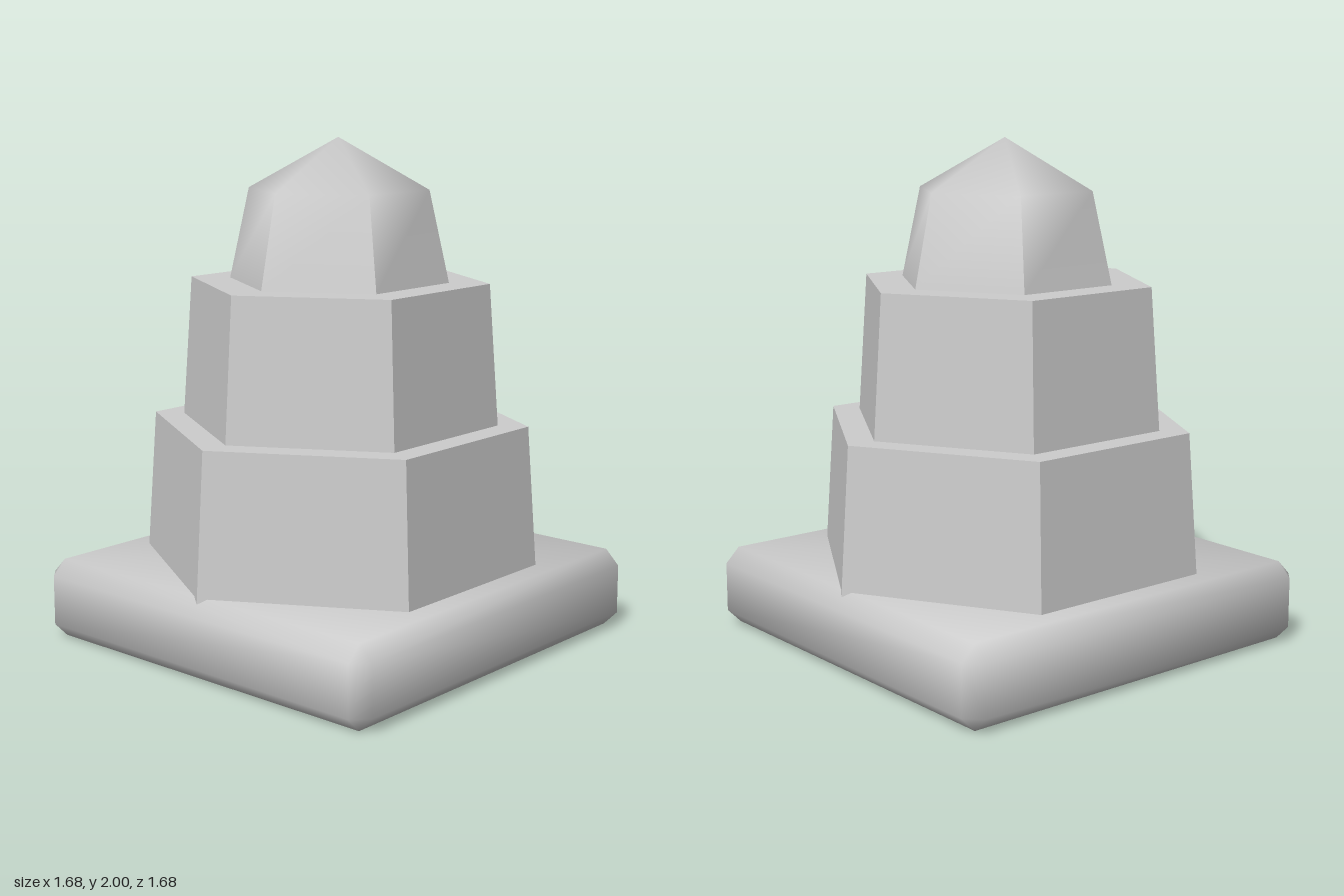
import * as THREE from 'three';
import { ConvexGeometry } from 'three/addons/geometries/ConvexGeometry.js';

const stone = new THREE.MeshStandardMaterial({ color: 0xcccccc });
stone.name = 'grey stone';

// Replaces each vertex normal with rule(position, old normal)
function setNormals(geometry, rule) {
  const pos = geometry.attributes.position, nor = geometry.attributes.normal;
  const p = new THREE.Vector3(), n = new THREE.Vector3();
  for (let i = 0; i < pos.count; i++) {
    p.fromBufferAttribute(pos, i);
    n.fromBufferAttribute(nor, i);
    rule(p, n);
    n.normalize();
    nor.setXYZ(i, n.x, n.y, n.z);
  }
  return geometry;
}

// Box with one-step bevels on every edge, shaded smooth
function bevelledBox(hx, hy, hz, bevel) {
  const half = [hx, hy, hz], points = [];
  for (let axis = 0; axis < 3; axis++) {
    for (const sx of [-1, 1]) for (const sy of [-1, 1]) for (const sz of [-1, 1]) {
      const c = [sx, sy, sz].map((s, k) => s * (half[k] - (k === axis ? 0 : bevel)));
      points.push(new THREE.Vector3(...c));
    }
  }
  return setNormals(new ConvexGeometry(points), (p, n) => {
    const w = p.toArray().map((v, k) =>
      Math.sign(v) * (Math.abs(v) > half[k] - bevel / 2 ? 2.8 : 1.09));
    n.set(...w);
  });
}

// Six-sided tapered block with corners on the x axis and flat faces
function hexBlock(rBottom, rTop, y0, y1, open = false) {
  const g = new THREE.CylinderGeometry(rTop, rBottom, y1 - y0, 6, 1, open, Math.PI / 2);
  g.translate(0, (y0 + y1) / 2, 0);
  const flat = g.toNonIndexed();
  flat.computeVertexNormals();
  return flat;
}

export function createModel() {
  const model = new THREE.Group();
  model.name = 'steppedTower';
  const add = (name, geometry, parent = model) => {
    const mesh = new THREE.Mesh(geometry, stone);
    mesh.name = name;
    parent.add(mesh);
    return mesh;
  };

  // Square plinth
  add('base', bevelledBox(0.84, 0.16, 0.84, 0.06)).position.y = 0.16;

  // Two stepped tiers; the lower one sinks into the plinth
  add('lowerTier', hexBlock(0.803, 0.76, 0.28, 0.88));
  add('upperTier', hexBlock(0.64, 0.6, 0.88, 1.44));

  // Cap: sides are sharp at the foot and blend smoothly into the peak
  const cap = new THREE.Group();
  cap.name = 'cap';
  model.add(cap);
  const blend = (p, n) => {
    if (p.y > 1.95) n.set(0, 1, 0);
    else if (p.y > 1.75) n.set(p.x, 0, p.z).normalize().multiplyScalar(0.85).setY(0.53);
  };
  add('capSides', setNormals(hexBlock(0.44, 0.36, 1.44, 1.8, true), blend), cap);
  add('capPeak', setNormals(hexBlock(0.36, 0, 1.8, 2, true), blend), cap);

  return model;
}
